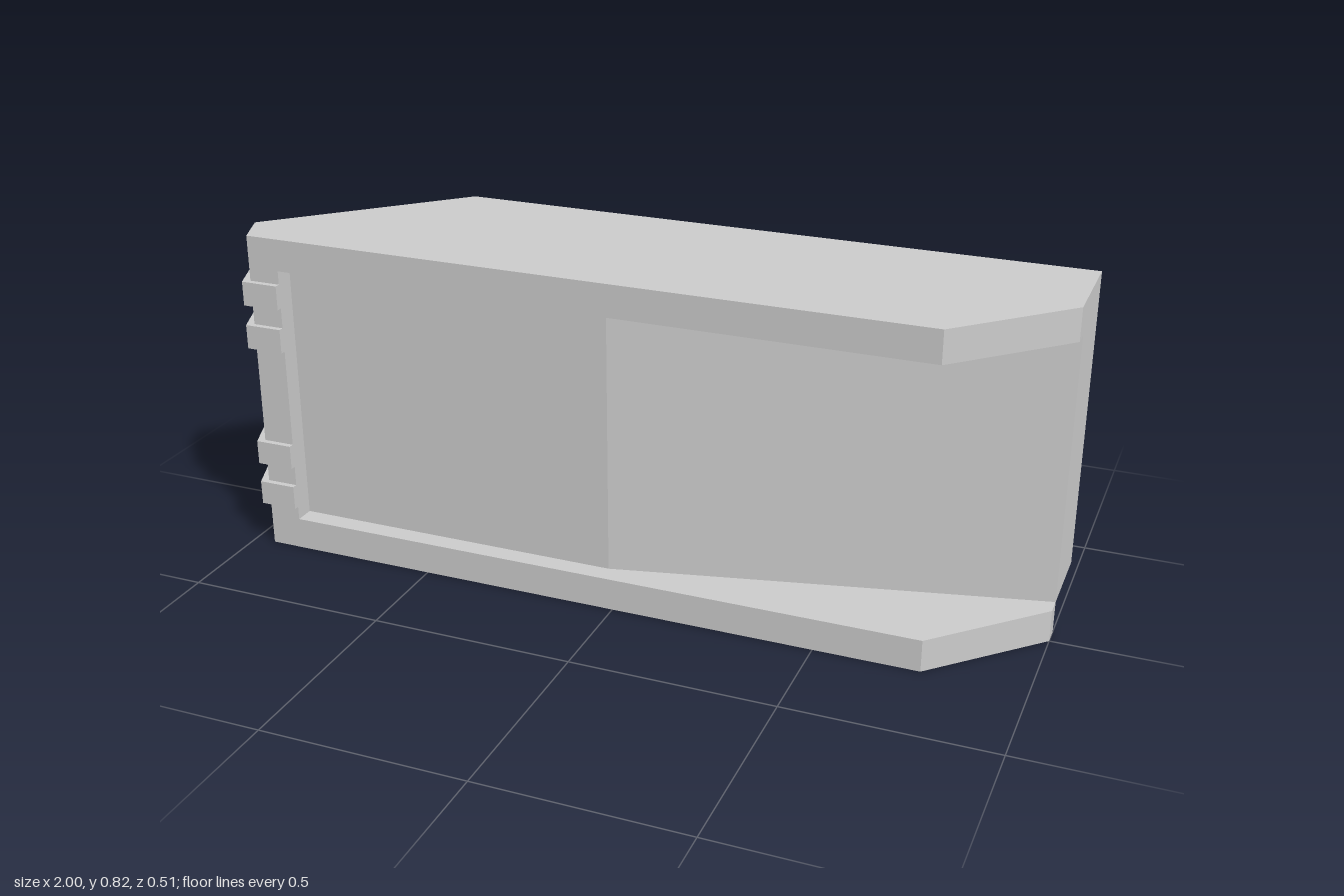
import * as THREE from 'three';

const HEIGHT = 0.825, FLOOR = 0.08, CEILING = 0.745;

// Extrudes a plan outline of [x, z] corners from y0 up to y1.
function slab(name, plan, y0, y1, material) {
  const shape = new THREE.Shape(plan.map(([x, z]) => new THREE.Vector2(x, -z)));
  const geometry = new THREE.ExtrudeGeometry(shape, { depth: y1 - y0, bevelEnabled: false });
  geometry.rotateX(-Math.PI / 2).translate(0, y0, 0);
  const mesh = new THREE.Mesh(geometry, material);
  mesh.name = name;
  return mesh;
}

export function createModel() {
  const group = new THREE.Group();
  group.name = 'angledHousing';
  const material = new THREE.MeshStandardMaterial({ color: 0xcccccc, flatShading: true });

  // Chamfered outline shared by the plates: right end, front, left end
  const frontEdge = [[1, 0], [0.755, 0.243], [-0.945, 0.243], [-0.985, 0.145], [-0.585, -0.255]];

  // Top plate covers the full outline
  group.add(slab('topPlate', [[1, -0.255], ...frontEdge], CEILING, HEIGHT, material));

  // Middle block: shallow recess that slopes back towards the open right end
  group.add(slab('recessedBody', [
    [1, -0.255], [1, -0.045], [-0.03, 0.193], [-0.865, 0.193], [-0.865, 0.243],
    [-0.945, 0.243], [-0.985, 0.145], [-0.585, -0.255],
  ], FLOOR, CEILING, material));

  // Bottom plate with a long notch cut from its back right corner
  const bottom = slab('bottomPlate', [
    [-0.122, -0.255], [-0.122, -0.1], [-0.1, -0.045], [1, -0.045], ...frontEdge,
  ], 0, FLOOR, material);
  // Undercut the end of the notch by sliding its upper corners left
  const p = bottom.geometry.attributes.position;
  for (let i = 0; i < p.count; i++) {
    if (p.getY(i) > 0.04 && p.getX(i) < -0.09 && p.getX(i) > -0.13) p.setX(i, p.getX(i) - 0.051);
  }
  bottom.geometry.computeVertexNormals();
  group.add(bottom);

  // Four thin clips wrapped around the left front edge
  const clip = [
    [-0.985, 0.145], [-0.945, 0.243], [-0.865, 0.243],
    [-0.865, 0.257], [-0.96, 0.257], [-1, 0.158],
  ];
  for (const y of [0.115, 0.227, 0.538, 0.65]) {
    group.add(slab('edgeClip', clip, y, y + 0.061, material));
  }
  return group;
}
